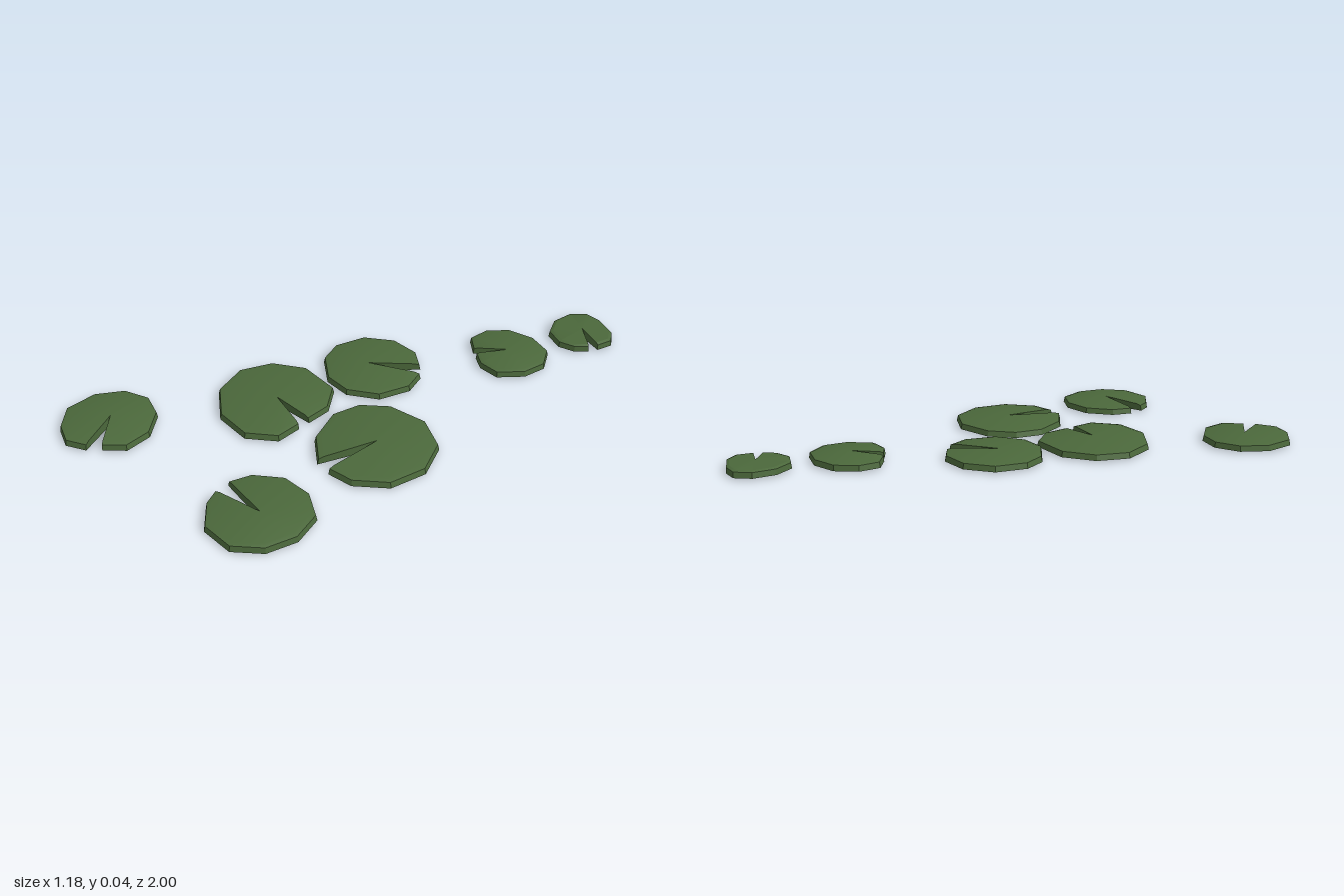
import * as THREE from 'three';
import { toCreasedNormals } from 'three/addons/utils/BufferGeometryUtils.js';

const leafGreen = new THREE.MeshStandardMaterial({ color: 0x4b683b });
leafGreen.name = 'leafGreen';

// Section from underside centre, round the rim, to the top centre: [radial scale, height]
const section = [[0, 0], [1, 0.006], [0.975, 0.028], [0.88, 0.033], [0, 0.038]];

// A pad: rim points run clockwise (seen from above) from one lip of the notch to the other.
function makePad(name, apex, rim) {
  const at = (k, i) => {
    const [s, y] = section[k];
    return [apex[0] + (rim[i][0] - apex[0]) * s, y, apex[1] + (rim[i][1] - apex[1]) * s];
  };
  const pos = [];
  const tri = (a, b, c) => pos.push(...a, ...b, ...c);
  const last = section.length - 1;
  const end = rim.length - 1;

  // Underside, rim wall and top surface
  for (let k = 0; k < last; k++) {
    for (let i = 0; i < end; i++) {
      if (k > 0) tri(at(k, i + 1), at(k, i), at(k + 1, i));
      if (k < last - 1) tri(at(k, i + 1), at(k + 1, i), at(k + 1, i + 1));
    }
  }
  // The two walls of the notch
  for (let k = last; k > 1; k--) {
    const next = k === last ? 0 : k + 1;
    tri(at(1, 0), at(next, 0), at(k, 0));
    tri(at(1, end), at(k, end), at(next, end));
  }

  const geometry = new THREE.BufferGeometry();
  geometry.setAttribute('position', new THREE.Float32BufferAttribute(pos, 3));
  const pad = new THREE.Mesh(toCreasedNormals(geometry, 0.35), leafGreen);
  pad.name = name;
  return pad;
}

export function createModel() {
  const group = new THREE.Group();
  group.name = 'lilyPads';

  group.add(
    makePad('backSmallPad', [0.46, -0.88], [
      [0.55, -0.8], [0.51, -0.76], [0.445, -0.745], [0.37, -0.78], [0.335, -0.86], [0.35, -0.95],
      [0.4, -1], [0.47, -0.995], [0.56, -0.95], [0.59, -0.9], [0.57, -0.835]]),
    makePad('backPad', [0.34, -0.55], [
      [0.23, -0.47], [0.17, -0.525], [0.18, -0.61], [0.245, -0.68], [0.35, -0.7], [0.45, -0.665],
      [0.495, -0.58], [0.475, -0.485], [0.4, -0.405], [0.315, -0.41], [0.26, -0.45]]),
    makePad('middlePad', [0.01, -0.1], [
      [0.195, -0.195], [0.22, -0.105], [0.175, 0.015], [0.065, 0.08], [-0.045, 0.07], [-0.15, -0.015],
      [-0.18, -0.11], [-0.14, -0.23], [-0.035, -0.3], [0.085, -0.295], [0.155, -0.24]]),
    makePad('largeRightPad', [-0.08, 0.3], [
      [0.09, 0.35], [0.09, 0.45], [-0.01, 0.525], [-0.16, 0.51], [-0.285, 0.41], [-0.325, 0.27],
      [-0.27, 0.15], [-0.15, 0.08], [0.02, 0.1], [0.09, 0.2], [0.09, 0.3]]),
    makePad('largeLeftPad', [0.365, 0.23], [
      [0.28, 0.445], [0.18, 0.36], [0.13, 0.22], [0.16, 0.11], [0.25, 0.035], [0.405, 0.015],
      [0.53, 0.085], [0.585, 0.22], [0.55, 0.36], [0.445, 0.445], [0.345, 0.455]]),
    makePad('frontRightPad', [-0.43, 0.8], [
      [-0.36, 0.96], [-0.435, 0.995], [-0.52, 0.96], [-0.595, 0.88], [-0.595, 0.755], [-0.53, 0.66],
      [-0.43, 0.625], [-0.335, 0.66], [-0.26, 0.755], [-0.255, 0.86], [-0.32, 0.92]]),
    makePad('frontLeftPad', [0.345, 0.77], [
      [0.145, 0.735], [0.175, 0.655], [0.27, 0.585], [0.39, 0.585], [0.485, 0.645], [0.515, 0.76],
      [0.48, 0.87], [0.39, 0.945], [0.26, 0.94], [0.175, 0.86], [0.15, 0.8]]),
  );
  return group;
}
